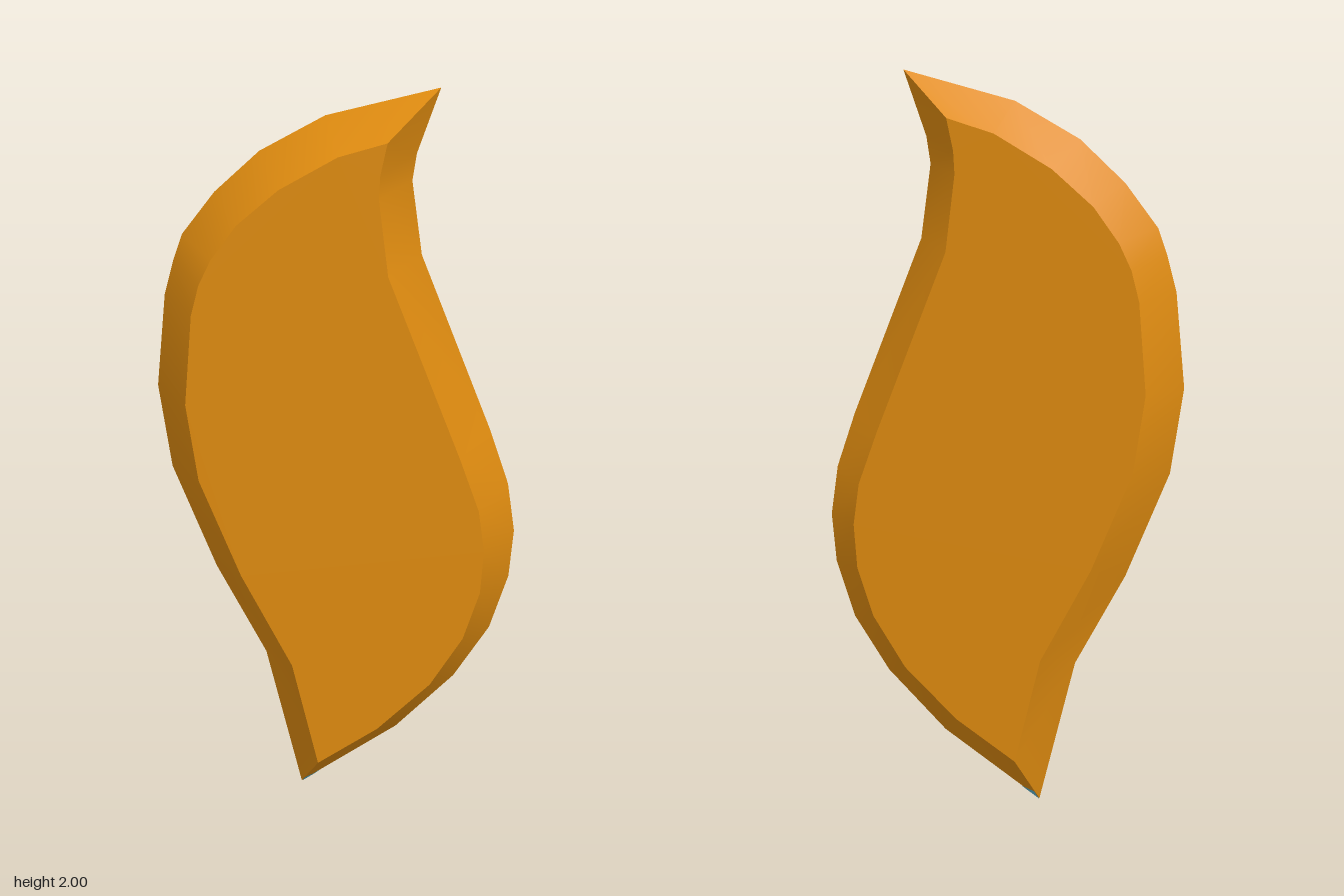
import * as THREE from 'three';
import { toCreasedNormals } from 'three/addons/utils/BufferGeometryUtils.js';

// Ridge outline, counterclockwise from the top tip
const RIDGE = [
  [0.25, 2], [-0.035, 1.93], [-0.2, 1.84], [-0.315, 1.735], [-0.4, 1.625], [-0.425, 1.555],
  [-0.45, 1.465], [-0.477, 1.215], [-0.447, 0.984], [-0.336, 0.688], [-0.204, 0.423],
  [-0.108, 0], [0.16, 0.187], [0.32, 0.354], [0.415, 0.508], [0.463, 0.667], [0.473, 0.804],
  [0.452, 0.942], [0.4, 1.095], [0.21, 1.575], [0.183, 1.767], [0.193, 1.836],
];
// Matching outline of the flat faces
const FACE = [
  [0.12, 1.895], [0, 1.86], [-0.145, 1.778], [-0.25, 1.688], [-0.315, 1.6], [-0.347, 1.534],
  [-0.368, 1.455], [-0.39, 1.215], [-0.362, 1.005], [-0.257, 0.73], [-0.124, 0.46],
  [-0.055, 0.153], [0.108, 0.265], [0.25, 0.407], [0.336, 0.55], [0.378, 0.688], [0.385, 0.81],
  [0.368, 0.926], [0.315, 1.074], [0.125, 1.56], [0.1, 1.757], [0.103, 1.815],
];
const RIDGE_Z = -0.03, FRONT_Z = 0.118, BACK_Z = -0.118, TIP = 11;

const at = (points, z) => points.map(([x, y]) => new THREE.Vector3(x, y, z));

function fromTriangles(triangles, flip) {
  const points = triangles.flatMap(([a, b, c]) => (flip ? [a, c, b] : [a, b, c]));
  const geometry = new THREE.BufferGeometry().setFromPoints(points);
  geometry.computeVertexNormals();
  return geometry;
}

export function createModel() {
  const amber = new THREE.MeshStandardMaterial({ name: 'amber', color: 0xe08c10 });
  const paleBlue = new THREE.MeshStandardMaterial({ name: 'paleBlue', color: 0x5fb4cc });
  paleBlue.side = THREE.DoubleSide;

  const group = new THREE.Group();
  group.name = 'curvedBlade';
  const add = (name, geometry, material) => {
    const mesh = new THREE.Mesh(geometry, material);
    mesh.name = name;
    group.add(mesh);
  };

  const ridge = at(RIDGE, RIDGE_Z);
  const flat = THREE.ShapeUtils.triangulateShape(FACE.map(([x, y]) => new THREE.Vector2(x, y)), []);

  for (const [side, z] of [['front', FRONT_Z], ['back', BACK_Z]]) {
    const flip = side === 'back';
    const face = at(FACE, z);

    // Flat face
    add(side + 'Face', fromTriangles(flat.map((t) => t.map((i) => face[i])), flip), amber);

    // Bevel from the ridge to the flat face, smooth except at the tips
    const bevel = [];
    ridge.forEach((r, i) => {
      const j = (i + 1) % ridge.length;
      bevel.push([r, ridge[j], face[j]], [r, face[j], face[i]]);
    });
    add(side + 'Bevel', toCreasedNormals(fromTriangles(bevel, flip), 0.7), amber);

    // Small coloured patch on the underside of the bottom tip
    const a = ridge[TIP].clone();
    const b = a.clone().lerp(ridge[TIP + 1], 0.19);
    const c = a.clone().lerp(face[TIP], 0.2);
    const patch = fromTriangles([[a, b, c]], flip);
    const n = new THREE.Vector3().fromBufferAttribute(patch.attributes.normal, 0).multiplyScalar(0.0015);
    patch.translate(n.x, n.y, n.z);
    add(side + 'TipPatch', patch, paleBlue);
  }
  return group;
}
